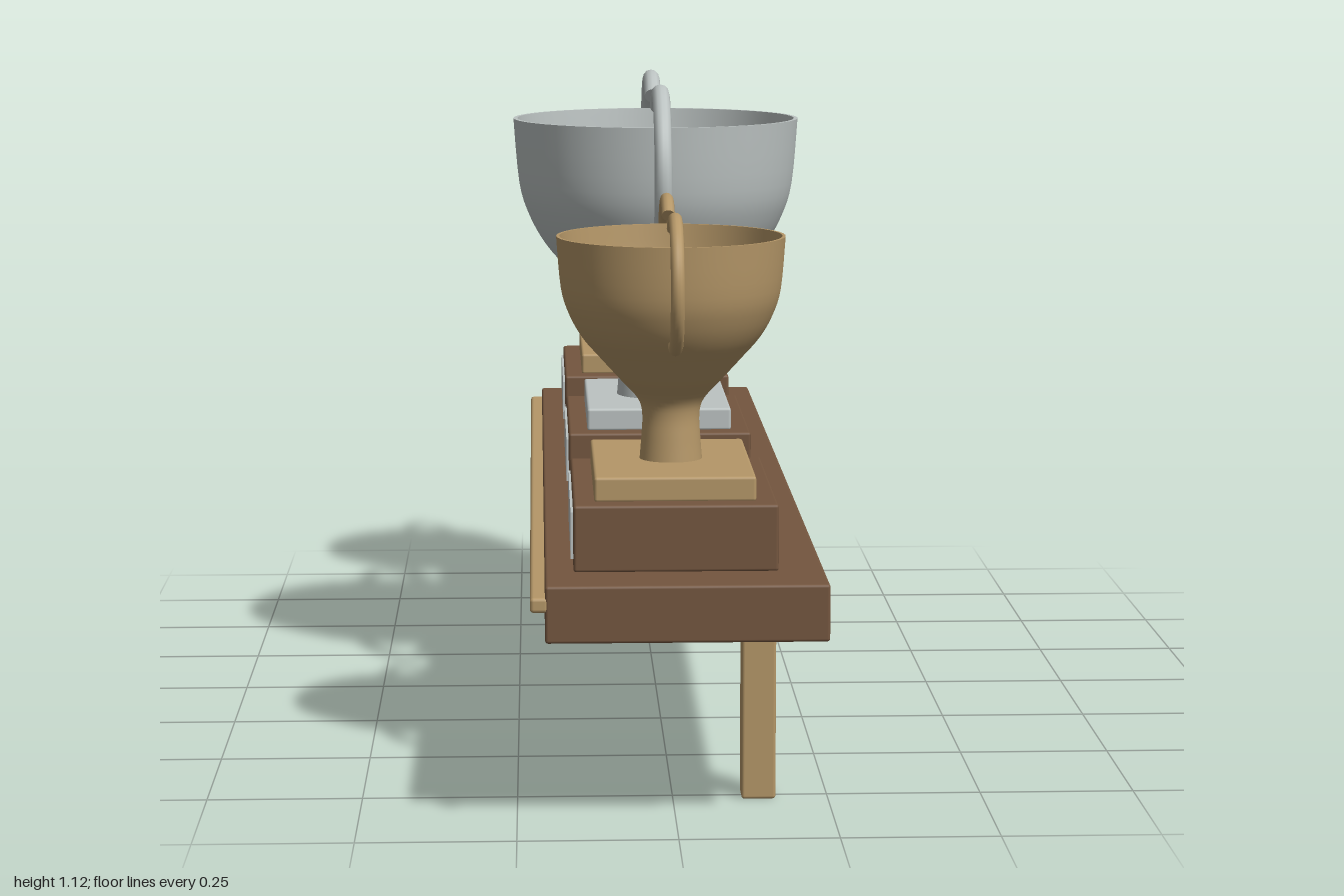
import * as THREE from 'three';
import { RoundedBoxGeometry } from 'three/addons/geometries/RoundedBoxGeometry.js';

const mat = (name, color) => {
  const m = new THREE.MeshStandardMaterial({ color });
  m.name = name;
  return m;
};

export function createModel() {
  const model = new THREE.Group();
  model.name = 'trophyShelf';
  const wood = mat('brown wood', 0x74563f);
  const gold = mat('gold', 0xb59768);
  const silver = mat('silver', 0xbcc3c2);

  const add = (parent, name, geometry, material, x = 0, y = 0, z = 0) => {
    const mesh = new THREE.Mesh(geometry, material);
    mesh.name = name;
    mesh.position.set(x, y, z);
    parent.add(mesh);
    return mesh;
  };
  // Box with softened edges
  const block = (w, h, d, r = 0.005) => new RoundedBoxGeometry(w, h, d, 2, r);

  // Shelf, rail along its edge and two legs
  add(model, 'shelf', block(0.437, 0.09, 2), wood, 0.0135, 0.355, 0);
  add(model, 'rail', block(0.028, 0.024, 2, 0.006), gold, -0.214, 0.37, 0);
  for (const s of [1, -1]) {
    add(model, 'leg', block(0.055, 0.32, 0.05), gold, 0.138, 0.16, s * 0.753);
  }

  // Cup profile at full size: outside from the stem to the rim, then the inner bowl
  const spline = (pts) => new THREE.SplineCurve(pts.map(([x, y]) => new THREE.Vector2(x, y)));
  const outside = spline([
    [0.07, 0], [0.066, 0.05], [0.064, 0.1], [0.074, 0.135], [0.11, 0.175],
    [0.16, 0.23], [0.199, 0.275], [0.227, 0.325], [0.245, 0.385], [0.255, 0.5],
  ]).getPoints(36);
  const inside = spline([
    [0.248, 0.5], [0.237, 0.4], [0.212, 0.34], [0.15, 0.275], [0.07, 0.235], [0, 0.225],
  ]).getPoints(24);
  inside[inside.length - 1].x = 0;
  const rim = [outside[outside.length - 1].clone(), inside[0].clone()];

  // Handle: an open ring in the yz plane, reaching over the rim
  const handlePath = new THREE.CatmullRomCurve3(
    Array.from({ length: 25 }, (_, i) => {
      const a = THREE.MathUtils.degToRad(-112 + (239 * i) / 24);
      return new THREE.Vector3(0, 0.418 + 0.14 * Math.sin(a), 0.228 + 0.14 * Math.cos(a));
    })
  );
  const handleGeometry = new THREE.TubeGeometry(handlePath, 48, 0.015, 12);

  const trophy = (name, z, scale, metal) => {
    const group = new THREE.Group();
    group.name = name;
    group.position.z = z;
    model.add(group);

    add(group, 'base', block(0.32, 0.106, 0.432), wood, 0, 0.452, 0);
    add(group, 'plinthPlate', block(0.254, 0.04, 0.36), metal, 0, 0.523, 0);
    add(group, 'plaque', new THREE.BoxGeometry(0.006, 0.074, 0.372), silver, -0.161, 0.452, 0);

    const cup = new THREE.Group();
    cup.name = 'cup';
    cup.position.y = 0.543;
    cup.scale.setScalar(scale);
    group.add(cup);
    add(cup, 'bowlOutside', new THREE.LatheGeometry(outside, 48), metal);
    add(cup, 'bowlRim', new THREE.LatheGeometry(rim, 48), metal);
    add(cup, 'bowlInside', new THREE.LatheGeometry(inside, 48), metal);

    // One handle on each side, with closed ends
    for (const s of [1, -1]) {
      const handle = new THREE.Group();
      handle.name = 'handle';
      handle.rotation.y = s > 0 ? 0 : Math.PI;
      cup.add(handle);
      add(handle, 'handleRing', handleGeometry, metal);
      for (const t of [0, 1]) {
        const cap = add(handle, 'handleEnd', new THREE.CircleGeometry(0.015, 12), metal);
        cap.position.copy(handlePath.getPointAt(t));
        const out = handlePath.getTangentAt(t).multiplyScalar(t ? 1 : -1);
        cap.quaternion.setFromUnitVectors(new THREE.Vector3(0, 0, 1), out);
      }
    }
  };

  trophy('frontTrophy', 0.68, 0.72, gold);
  trophy('middleTrophy', 0, 1, silver);
  trophy('backTrophy', -0.68, 0.77, gold);

  return model;
}
